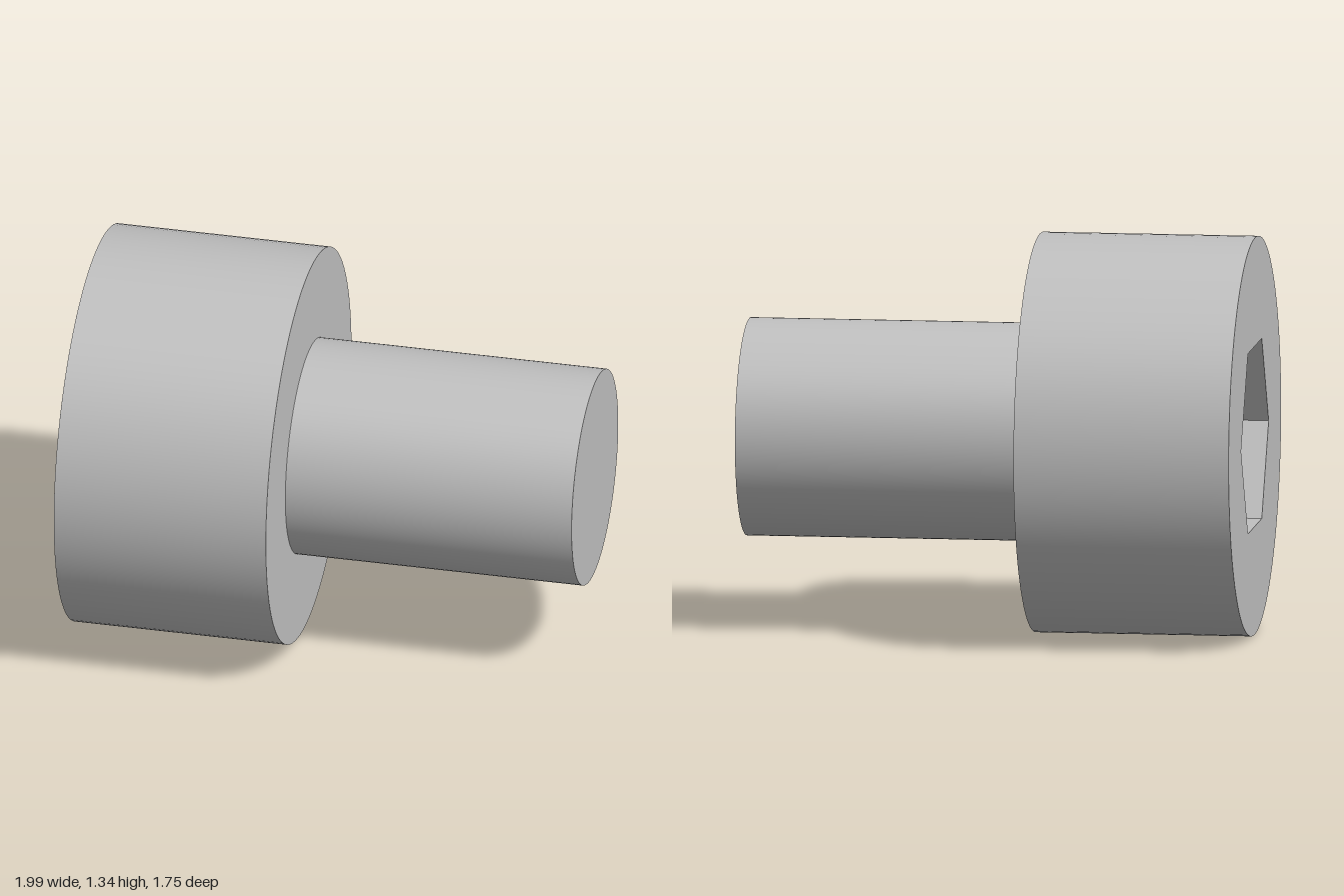
import * as THREE from 'three';

// Socket-head cap screw; local +z points out of the head along the screw axis
const HEAD_R = 0.67, SHAFT_R = 0.365, HEX_R = 0.352;
const FRONT = 0.721, UNDER = -0.005, END = -0.985, FLOOR = FRONT - 0.37;
const SEG = 96;

export function createModel() {
  const steel = new THREE.MeshStandardMaterial({ color: 0xc0c0c0, side: THREE.DoubleSide });
  steel.name = 'steel grey';

  const screw = new THREE.Group();
  screw.name = 'capScrew';
  const add = (name, geometry, z) => {
    const mesh = new THREE.Mesh(geometry, steel);
    mesh.name = name;
    mesh.position.set(-0.081, HEAD_R, z);
    screw.add(mesh);
  };

  // Open tube wall between two stations on the axis
  const wall = (r, z0, z1, sides = SEG) =>
    new THREE.CylinderGeometry(r, r, z1 - z0, sides, 1, true, Math.PI / 2).rotateX(Math.PI / 2);

  // Head: wall, front face with hexagonal opening, underside ring
  add('headWall', wall(HEAD_R, UNDER, FRONT), (UNDER + FRONT) / 2);
  const face = new THREE.Shape().absarc(0, 0, HEAD_R, 0, Math.PI * 2);
  const hex = Array.from({ length: 6 }, (_, i) =>
    new THREE.Vector2(HEX_R * Math.cos(i * Math.PI / 3), HEX_R * Math.sin(i * Math.PI / 3)));
  face.holes.push(new THREE.Path(hex));
  add('headFace', new THREE.ShapeGeometry(face, SEG), FRONT);
  add('headUnderside', new THREE.RingGeometry(SHAFT_R, HEAD_R, SEG).rotateY(Math.PI), UNDER);

  // Hexagonal socket, flat-sided
  const socket = wall(HEX_R, FLOOR, FRONT, 6).toNonIndexed();
  socket.computeVertexNormals();
  add('socketWalls', socket, (FLOOR + FRONT) / 2);
  add('socketFloor', new THREE.CircleGeometry(HEX_R, 6), FLOOR);

  // Shaft
  add('shaftWall', wall(SHAFT_R, END, UNDER), (END + UNDER) / 2);
  add('shaftEnd', new THREE.CircleGeometry(SHAFT_R, SEG).rotateY(Math.PI), END);

  // Lay the axis at an angle in the ground plane
  screw.rotation.y = -Math.PI / 3;
  const model = new THREE.Group();
  model.name = 'model';
  model.add(screw);
  return model;
}
